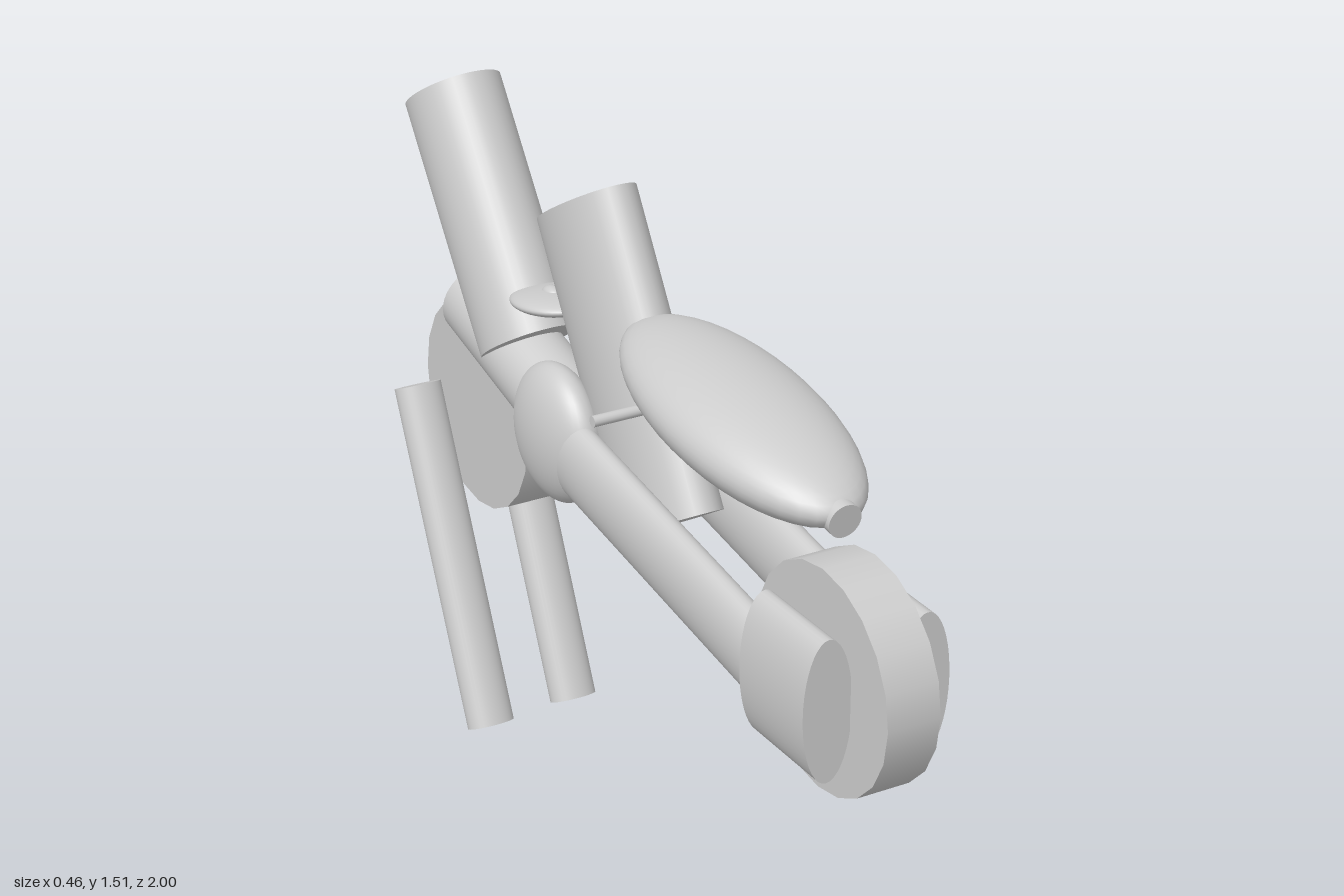
import * as THREE from 'three';

const CX = -0.01; // shared centre line of the machine

export function createModel() {
  const group = new THREE.Group();
  const material = new THREE.MeshStandardMaterial({ color: 0xcccccc });

  const add = (name, geometry, x, y, z) => {
    const mesh = new THREE.Mesh(geometry, material);
    mesh.name = name;
    mesh.position.set(x, y, z);
    group.add(mesh);
    return mesh;
  };

  // Oval tube between two [y, z] points; rx is the half width, r the half depth
  const tube = (name, x, [y0, z0], [y1, z1], rx, r) => {
    const mesh = add(name, new THREE.CylinderGeometry(1, 1, 1, 40), x, (y0 + y1) / 2, (z0 + z1) / 2);
    mesh.scale.set(rx, Math.hypot(y1 - y0, z1 - z0), r);
    mesh.rotation.x = Math.atan2(z1 - z0, y1 - y0);
    return mesh;
  };

  // Ellipsoid, tilted about the x axis
  const ellipsoid = (name, x, y, z, rx, ry, rz, tilt = 0) => {
    const mesh = add(name, new THREE.SphereGeometry(1, 40, 24), x, y, z);
    mesh.scale.set(rx, ry, rz);
    mesh.rotation.x = tilt;
    return mesh;
  };

  // Cylinder lying across the model
  const crossCylinder = (name, y, z, r, width, sides) => {
    const geometry = new THREE.CylinderGeometry(r, r, width, sides).rotateZ(Math.PI / 2);
    return add(name, geometry, CX, y, z);
  };

  // Wheels
  crossCylinder('frontWheel', 0.77, 0.765, 0.242, 0.12, 20);
  crossCylinder('rearWheel', 0.77, -0.69, 0.243, 0.12, 20);

  // Paired parts on each side
  for (const side of [-1, 1]) {
    const x = CX + side * 0.112;
    const dz = -side * 0.008;
    tube('axleSleeve', x, [0.765, 0.64], [0.765, 0.875], 0.056, 0.158);
    tube('forkArm', x, [0.764, 0.643], [0.9, -0.22], 0.046, 0.091);
    ellipsoid('sideHub', CX + side * 0.103, 0.905, -0.22, 0.072, 0.155, 0.152);
    tube('rearLeg', x, [0.753, -0.89 + dz], [0.025, -0.56 + dz], 0.056, 0.041);
  }

  // Frame and the two upright tubes
  tube('frameTube', CX, [0.796, -0.072], [0.984, -0.78], 0.092, 0.094);
  tube('middleTube', CX, [0.796, 0.088], [1.391, -0.276], 0.088, 0.173);
  tube('rearTube', CX, [0.965, -0.545], [1.445, -0.887], 0.106, 0.129);

  // Tank with nose cap and handlebar
  ellipsoid('tank', CX, 1.152, 0.358, 0.17, 0.093, 0.395, 0.14);
  tube('noseCap', CX, [1.098, 0.7], [1.091, 0.748], 0.037, 0.037);
  crossCylinder('handlebar', 1.108, 0.148, 0.012, 0.462, 16).position.x = -0.001;

  // Saddle with a small raised top
  ellipsoid('saddle', CX, 1.108, -0.434, 0.085, 0.024, 0.116, -0.13);
  ellipsoid('saddleBump', CX, 1.125, -0.434, 0.02, 0.016, 0.03, -0.13);

  return group;
}
